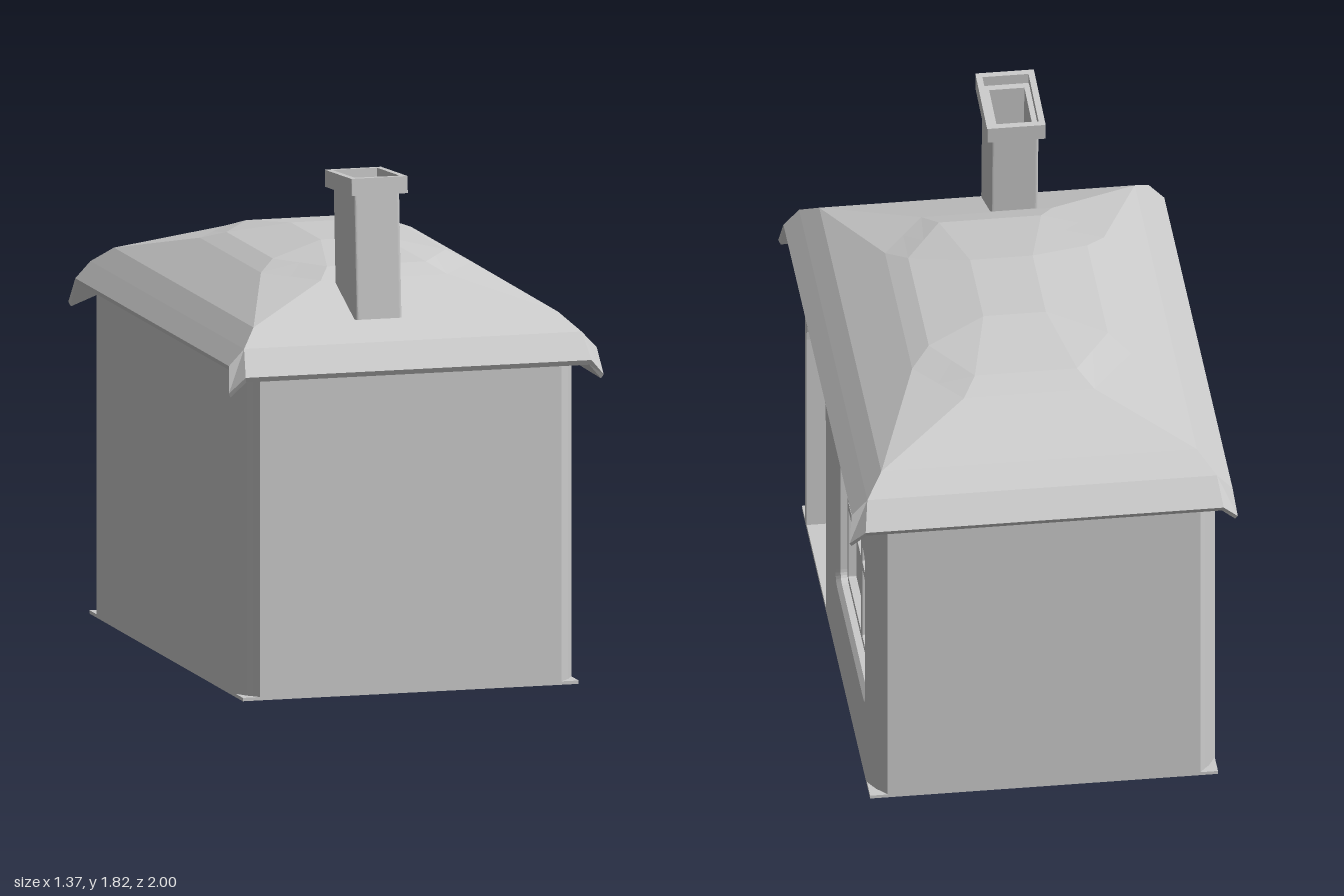
import * as THREE from 'three';

const grey = new THREE.MeshStandardMaterial({ color: 0xcccccc, flatShading: true });
const greyThin = new THREE.MeshStandardMaterial({ color: 0xcccccc, flatShading: true, side: THREE.DoubleSide });

function part(name, geometry, material = grey) {
  const mesh = new THREE.Mesh(geometry, material);
  mesh.name = name;
  return mesh;
}

// Skin between successive rings of points; rings run counter-clockwise seen from the end
function loft(rings, { closed = true, cap = false } = {}) {
  const pos = [];
  const tri = (...pts) => pts.forEach((p) => pos.push(...p));
  const n = rings[0].length;
  for (let k = 0; k + 1 < rings.length; k++) {
    const r = rings[k], s = rings[k + 1];
    for (let i = 0; i < (closed ? n : n - 1); i++) {
      const j = (i + 1) % n;
      tri(r[i], r[j], s[j]);
      tri(r[i], s[j], s[i]);
    }
  }
  const top = rings[rings.length - 1];
  if (cap) for (let i = 1; i + 1 < n; i++) tri(top[0], top[i], top[i + 1]);
  const g = new THREE.BufferGeometry();
  g.setAttribute('position', new THREE.Float32BufferAttribute(pos, 3));
  g.computeVertexNormals();
  return g;
}

// Rounded rectangle from x0,y0 to x1,y1, with separate radii for bottom and top corners
function roundRect(x0, y0, x1, y1, rTop, rBottom = rTop, Type = THREE.Shape) {
  const s = new Type();
  s.moveTo(x0 + rBottom, y0);
  s.lineTo(x1 - rBottom, y0);
  if (rBottom) s.quadraticCurveTo(x1, y0, x1, y0 + rBottom);
  s.lineTo(x1, y1 - rTop);
  if (rTop) s.quadraticCurveTo(x1, y1, x1 - rTop, y1);
  s.lineTo(x0 + rTop, y1);
  if (rTop) s.quadraticCurveTo(x0, y1, x0, y1 - rTop);
  s.lineTo(x0, y0 + rBottom);
  if (rBottom) s.quadraticCurveTo(x0, y0, x0 + rBottom, y0);
  return s;
}

function extrude(shape, depth, holes = []) {
  shape.holes.push(...holes);
  return new THREE.ExtrudeGeometry(shape, { depth, bevelEnabled: false, curveSegments: 6 });
}

const HX = 0.612, HZ = 0.928, WALL_TOP = 1.2, DEPTH = 0.13;

function buildWalls() {
  const g = new THREE.Group();
  g.name = 'walls';
  // Outline with softened corner posts, open along the side that holds the door
  const corner = [[HX, 0.84], [0.585, 0.888], [0.57, 0.904], [0.55, HZ]];
  const back = corner.map(([x, z]) => [x, -z]);
  const backLeft = corner.map(([x, z]) => [-x, -z]).reverse();
  const frontLeft = corner.map(([x, z]) => [-x, z]);
  const path = [...back, ...backLeft, ...frontLeft, ...[...corner].reverse()];
  const ring = (y) => path.map(([x, z]) => [x, y, z]);
  g.add(part('plainWalls', loft([ring(0), ring(WALL_TOP)], { closed: false }), greyThin));

  // Door side: shape x runs towards the back, then turned to face +x
  const door = roundRect(-0.8, 0.015, -0.28, 0.9, 0.11, 0, THREE.Path);
  const opening = roundRect(-0.015, 0.295, 0.795, 0.915, 0.05, 0.05, THREE.Path);
  const side = part('doorWall', extrude(roundRect(-0.84, 0, 0.84, WALL_TOP, 0), DEPTH, [door, opening]));
  side.rotation.y = Math.PI / 2;
  side.position.x = HX - DEPTH;
  g.add(side);

  const panel = part('doorPanel', new THREE.BoxGeometry(0.02, 0.95, 0.58));
  panel.position.set(HX - DEPTH - 0.008, 0.475, 0.54);
  g.add(panel);

  const floor = part('floor', new THREE.BoxGeometry(HX * 2, 0.012, HZ * 2));
  floor.position.y = 0.006;
  g.add(floor);
  return g;
}

function buildWindow() {
  const g = new THREE.Group();
  g.name = 'window';
  // Sloped surround leading into the recess
  const ring = (inset, r, z) => roundRect(-0.015 + inset, 0.295 + inset, 0.795 - inset, 0.915 - inset, r)
    .getPoints(6).map((p) => [p.x, p.y, z]);
  g.add(part('surround', loft([ring(0, 0.05, 0), ring(0.016, 0.04, -0.016), ring(0.016, 0.04, -0.045)]), greyThin));

  // Frame with four panes
  const holes = [];
  for (const [x0, x1] of [[0.03, 0.375], [0.405, 0.748]])
    for (const [y0, y1] of [[0.335, 0.615], [0.645, 0.875]])
      holes.push(roundRect(x0, y0, x1, y1, 0.006, 0.006, THREE.Path));
  const frame = part('frame', extrude(roundRect(-0.01, 0.3, 0.79, 0.91, 0.03), 0.03, holes));
  frame.position.z = -0.07;
  g.add(frame);

  const panes = part('panes', new THREE.BoxGeometry(0.8, 0.61, 0.01));
  panes.position.set(0.39, 0.605, -0.073);
  g.add(panes);

  g.rotation.y = Math.PI / 2;
  g.position.x = HX;
  return g;
}

// Roof ring: sides at x = sx reach z = cz, ends at z = sz reach x = cx, with a corner point between
function roofRing(sx, cz, ySide, cx, sz, yEnd, tip) {
  const t = tip || [(sx + cx) / 2, (ySide + yEnd) / 2, (sz + cz) / 2];
  const corner = [[cx, yEnd, sz], t, [sx, ySide, cz]];
  const place = (mx, mz, flip) => {
    const pts = corner.map(([x, y, z]) => [x * mx, y, z * mz]);
    return flip ? pts.reverse() : pts;
  };
  return [...place(1, 1, false), ...place(1, -1, true), ...place(-1, -1, false), ...place(-1, 1, true)];
}

function buildRoof() {
  const rings = [
    roofRing(0.5, 0.8, 1.2, 0.5, 0.8, 1.2),
    roofRing(0.664, 0.93, 1.173, 0.625, 0.99, 1.14, [0.675, 1.085, 0.965]),
    roofRing(0.67, 0.93, 1.19, 0.63, 1.0, 1.158, [0.683, 1.1, 0.972]),
    roofRing(0.615, 0.93, 1.248, 0.615, 0.93, 1.248),
    roofRing(0.555, 0.845, 1.307, 0.555, 0.845, 1.307),
    roofRing(0.385, 0.37, 1.413, 0.23, 0.58, 1.413),
    roofRing(0.315, 0.28, 1.445, 0.18, 0.49, 1.445),
    roofRing(0.11, 0.18, 1.485, 0.11, 0.18, 1.485),
  ];
  return part('roof', loft(rings, { cap: true }), greyThin);
}

// Upright rectangular tube, open through the middle
function tube(name, hx, hz, r, holeX, holeZ, height, y) {
  const hole = roundRect(-holeX, -holeZ, holeX, holeZ, 0, 0, THREE.Path);
  const mesh = part(name, extrude(roundRect(-hx, -hz, hx, hz, r), height, [hole]));
  mesh.rotation.x = -Math.PI / 2;
  mesh.position.y = y;
  return mesh;
}

function buildChimney() {
  const g = new THREE.Group();
  g.name = 'chimney';
  g.add(tube('stack', 0.084, 0.126, 0.012, 0.062, 0.1, 0.47, -0.47));
  g.add(tube('chimneyCap', 0.103, 0.162, 0.004, 0.081, 0.138, 0.06, -0.03));
  const plug = part('flueBottom', new THREE.BoxGeometry(0.13, 0.02, 0.21));
  plug.position.y = -0.2;
  g.add(plug);
  // Leans slightly towards the back
  g.position.set(-0.098, 1.776, 0.692);
  g.rotation.x = -0.065;
  return g;
}

export function createModel() {
  const model = new THREE.Group();
  model.name = 'house';
  const body = new THREE.Group();
  body.name = 'body';
  body.add(buildWalls(), buildWindow());
  body.position.x = -0.007;
  model.add(body, buildRoof(), buildChimney());
  return model;
}
